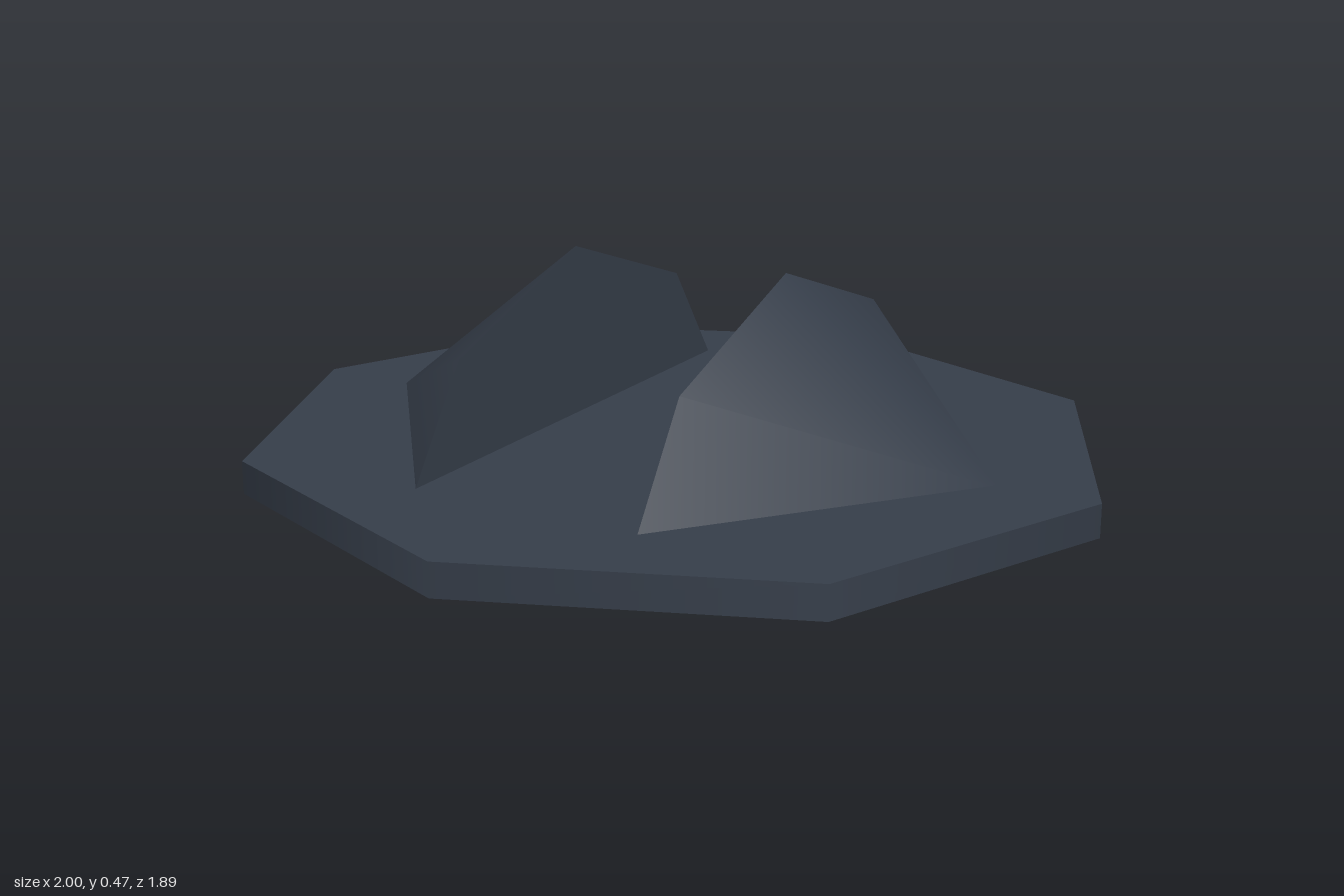
import * as THREE from 'three';

const slate = new THREE.MeshStandardMaterial({ color: 0x353d49 });
slate.name = 'dark slate';

// Rim of the upright inner face, as [y, z]
const rim = [[0.07, 0.63], [0.315, 0.462], [0.473, 0], [0.315, -0.462], [0.07, -0.63]];
const innerX = 0.27;
const tip = [0.775, 0.07, 0];

function indexedGeometry(points, faces) {
  const geometry = new THREE.BufferGeometry();
  geometry.setAttribute('position', new THREE.Float32BufferAttribute(points.flat(), 3));
  geometry.setIndex(faces.flat());
  geometry.computeVertexNormals();
  return geometry;
}

function namedMesh(name, geometry) {
  const mesh = new THREE.Mesh(geometry, slate);
  mesh.name = name;
  return mesh;
}

// Half-cone fin: smooth outer slope running to a tip, flat inner wall
function createFin(name) {
  const fin = new THREE.Group();
  fin.name = name;
  const rimPoints = rim.map(([y, z]) => [innerX, y, z]);
  const slopeFaces = [];
  const wallFaces = [];
  for (let i = 0; i < rim.length - 1; i++) {
    slopeFaces.push([i, rim.length, i + 1]);
    if (i > 0) wallFaces.push([0, i, i + 1]);
  }
  fin.add(namedMesh('outerSlope', indexedGeometry([...rimPoints, tip], slopeFaces)));
  fin.add(namedMesh('innerWall', indexedGeometry(rimPoints, wallFaces)));
  return fin;
}

export function createModel() {
  const model = new THREE.Group();
  model.name = 'finnedPlate';

  // Eight-sided base plate
  const plate = new THREE.CylinderGeometry(1, 1, 0.075, 8);
  plate.scale(1, 1, 0.947);
  plate.translate(0, 0.0375, 0);
  model.add(namedMesh('basePlate', plate));

  // Facing pair of fins
  const leftFin = createFin('leftFin');
  const rightFin = createFin('rightFin');
  rightFin.rotation.y = Math.PI;
  model.add(leftFin, rightFin);

  return model;
}
